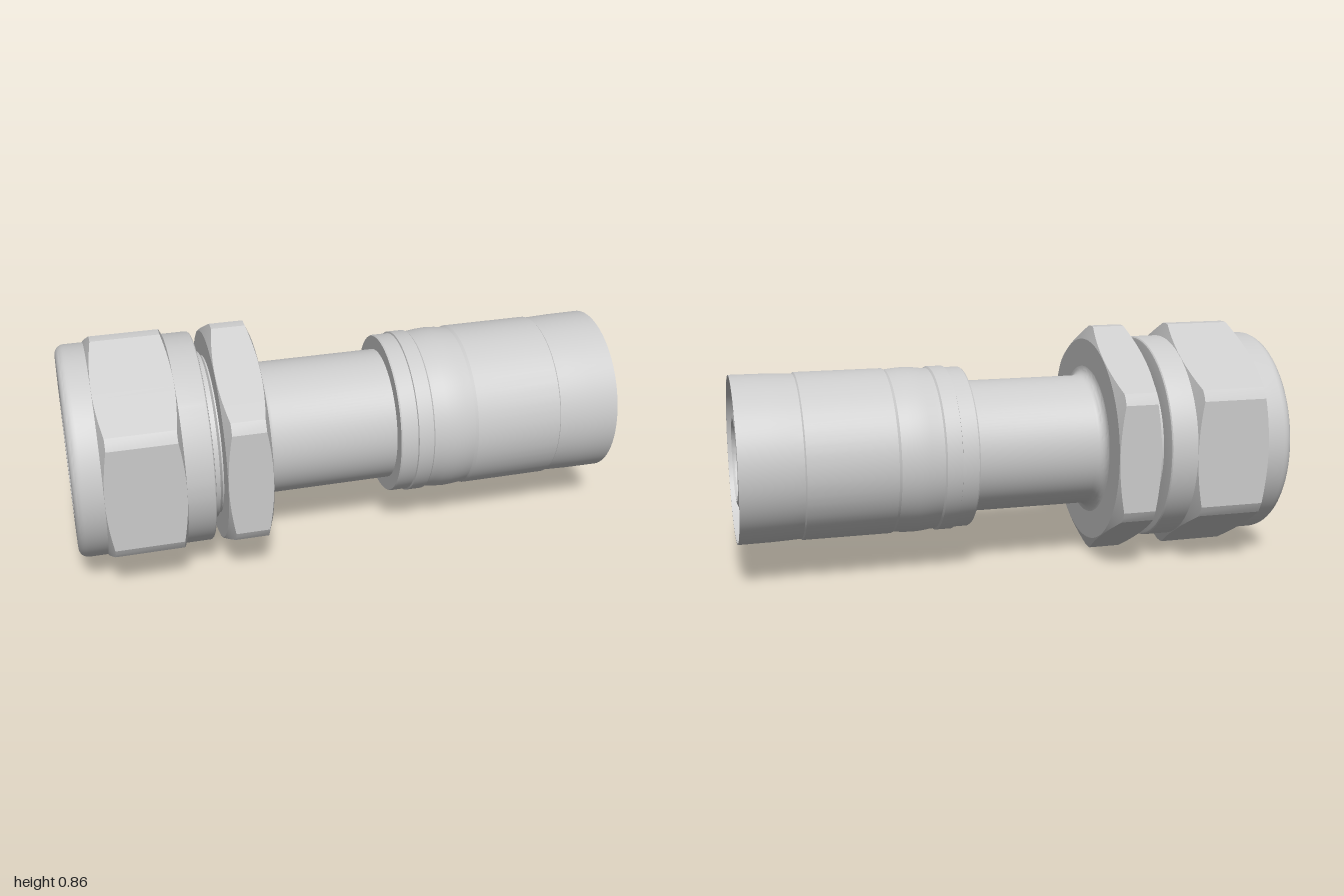
import * as THREE from 'three';
import { toCreasedNormals } from 'three/addons/utils/BufferGeometryUtils.js';

const AXIS_Y = 0.432;   // height of the fitting's axis
const FLAT = 0.384;     // hexagon centre to flat
const CORNER = 0.432;   // hexagon centre to trimmed corner
const SEGMENTS = 120;

const material = new THREE.MeshStandardMaterial({ color: 0xcccccc });

function addMesh(group, name, geometry) {
  geometry.rotateZ(-Math.PI / 2); // lathe axis y becomes x
  const mesh = new THREE.Mesh(toCreasedNormals(geometry, 0.35), material);
  mesh.name = name;
  group.add(mesh);
}

// Closed profile of [x, radius] points: outside towards +x, inside back again
function turned(points) {
  const profile = [...points, points[0]].map(([x, r]) => new THREE.Vector2(r, x));
  return new THREE.LatheGeometry(profile, SEGMENTS);
}

// Points of an arc in the [x, radius] plane, angles in degrees
function arc(x, r, size, from, to, steps = 6) {
  return Array.from({ length: steps + 1 }, (_, i) => {
    const a = THREE.MathUtils.degToRad(from + (to - from) * i / steps);
    return [x + size * Math.cos(a), r + size * Math.sin(a)];
  });
}

// Hexagon with trimmed corners and conical chamfers on both ends
function hexagon(x0, x1, bore) {
  const base = 0.381;
  const geometry = turned([
    [x0, bore], [x0, base], [x0, CORNER], [x1, CORNER], [x1, base], [x1, bore],
  ]);
  const pos = geometry.attributes.position;
  const mid = (x0 + x1) / 2;
  for (let i = 0; i < pos.count; i++) {
    const x = pos.getX(i), y = pos.getY(i), z = pos.getZ(i);
    const r = Math.hypot(x, z);
    if (r < 0.4) continue;
    const sector = Math.PI / 3;
    const angle = Math.atan2(x, z);
    const offset = angle - Math.round(angle / sector) * sector;
    const radius = Math.min(FLAT / Math.cos(offset), CORNER);
    const inset = (radius - base) * 0.4 * Math.sign(mid - y);
    pos.setXYZ(i, x * radius / r, y + inset, z * radius / r);
  }
  return geometry;
}

export function createModel() {
  const group = new THREE.Group();
  group.name = 'hoseFitting';
  group.position.y = AXIS_Y;

  // Union nut: round body with a bored mouth, and its hexagon
  addMesh(group, 'unionNutBody', turned([
    [-1, 0.245], ...arc(-0.965, 0.348, 0.035, 180, 90),
    ...arc(-0.53, 0.373, 0.01, 90, 0, 3),
    [-0.52, 0.25], [-0.93, 0.25], [-0.945, 0.235], [-0.99, 0.235],
  ]));
  addMesh(group, 'unionNutHexagon', hexagon(-0.9, -0.62, 0.3));

  // Threaded neck between the nut and the fixed hexagon
  addMesh(group, 'neck', turned([
    [-0.88, 0.225], [-0.88, 0.25], [-0.52, 0.305], [-0.495, 0.305],
    [-0.485, 0.29], [-0.45, 0.29], [-0.45, 0.143], [-0.68, 0.143], [-0.7, 0.185],
  ]));
  addMesh(group, 'fixedHexagon', hexagon(-0.48, -0.32, 0.143));

  // Shank with a fillet at the hexagon, running on as the inner hose nipple
  addMesh(group, 'shankAndNipple', turned([
    [-0.33, 0.143], [-0.33, 0.278], ...arc(-0.285, 0.278, 0.035, 180, 270),
    [0.3, 0.243], [0.3, 0.19],
    ...arc(0.95, 0.147, 0.043, 90, 0), [0.985, 0.143],
  ]));

  // Crimped ferrule with collar, bulge and a thin open mouth
  addMesh(group, 'ferrule', turned([
    [0.165, 0.24], [0.165, 0.293], [0.17, 0.296], [0.228, 0.296],
    [0.23, 0.302], [0.285, 0.302], [0.291, 0.296], [0.31, 0.297],
    [0.34, 0.301], [0.375, 0.303], [0.41, 0.301], [0.445, 0.297],
    [0.455, 0.302], [0.772, 0.302], [0.777, 0.297], [0.82, 0.299],
    [0.88, 0.301], [1, 0.302], [1, 0.297],
    [0.8, 0.292], [0.77, 0.27], [0.31, 0.27], [0.31, 0.19], [0.28, 0.19],
  ]));

  return group;
}
